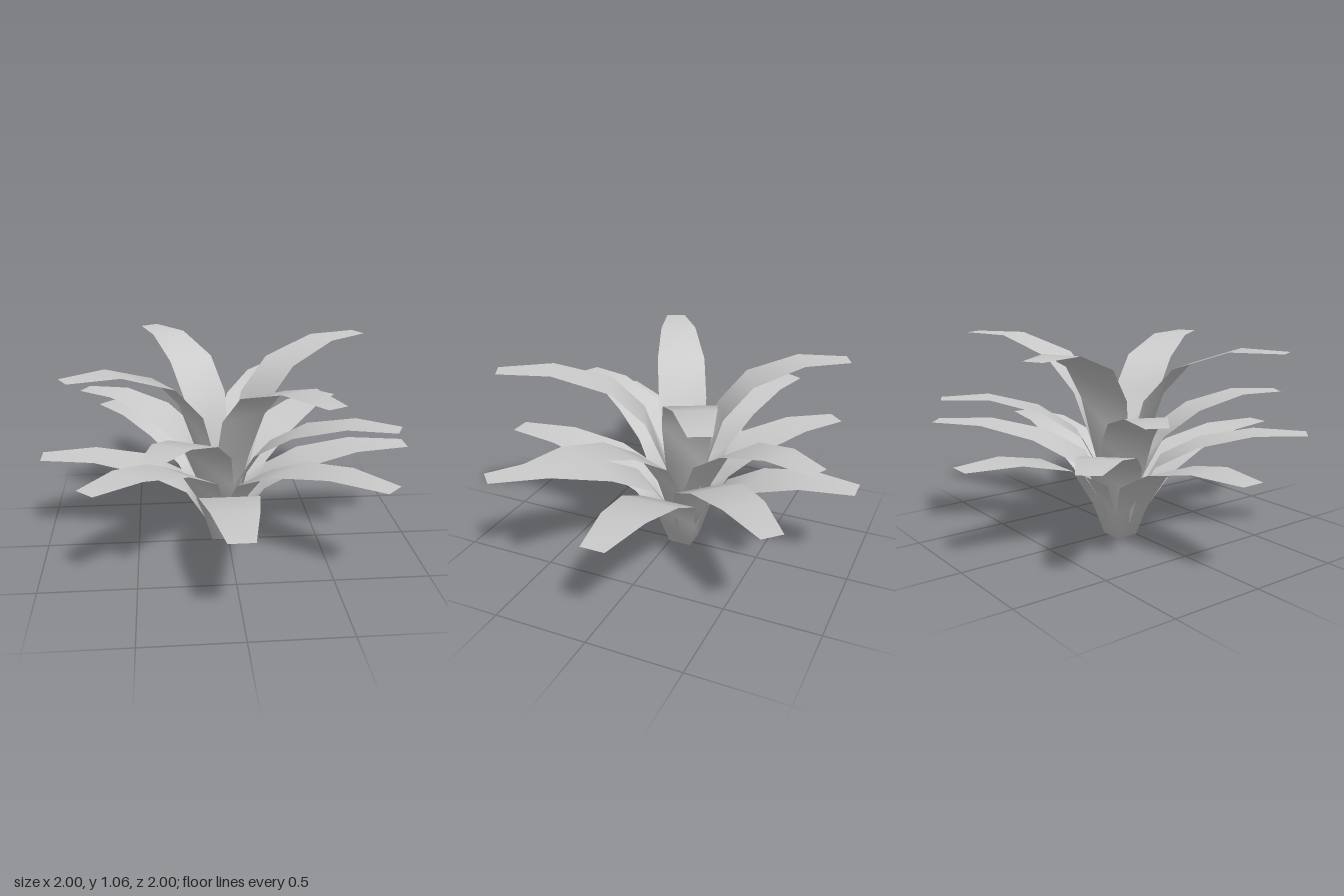
import * as THREE from 'three';
import { mergeGeometries, mergeVertices } from 'three/addons/utils/BufferGeometryUtils.js';

const material = new THREE.MeshStandardMaterial({ color: 0xcccccc, side: THREE.DoubleSide });

// Leaf strip running along +z: each ring is [distance, height, width]
function leafGeometry(rings) {
  const positions = [];
  const index = [];
  rings.forEach(([r, y, w], i) => {
    positions.push(-w / 2, y, r, w / 2, y, r);
    if (i > 0) {
      const a = 2 * (i - 1);
      index.push(a, a + 2, a + 1, a + 1, a + 2, a + 3);
    }
  });
  const geometry = new THREE.BufferGeometry();
  geometry.setAttribute('position', new THREE.Float32BufferAttribute(positions, 3));
  geometry.setIndex(index);
  return geometry;
}

// Four whorls of four leaves, from the lowest to the crown
const tiers = [
  { name: 'bottomLeaves', base: 0, rise: 0.5, width: 1, turn: 0, reach: [0.21, 0.43, 0.71, 1] },
  { name: 'lowerLeaves', base: 0.085, rise: 0.495, width: 0.92, turn: -45, reach: [0.21, 0.43, 0.72, 1] },
  { name: 'middleLeaves', base: 0.17, rise: 0.585, width: 0.86, turn: -64, reach: [0.215, 0.41, 0.665, 0.9] },
  { name: 'crownLeaves', base: 0.255, rise: 0.77, width: 0.84, turn: -27, reach: [0.2, 0.36, 0.64, 0.905] },
];
const heightSteps = [0.66, 0.88, 1, 1];
const widths = [0.31, 0.31, 0.235, 0.125];
// Square cup at the foot of each whorl, where neighbouring leaves are joined
const cupFoot = 0.0625;
const cupRim = 0.105;
const cupHeight = 0.32;
// Slight variation from leaf to leaf around each whorl
const reachScale = [1.06, 0.978, 0.937, 1.02];
const riseScale = [1, 1.02, 1.035, 1.05];

function whorlGeometry({ base, rise, width, reach }) {
  const floor = new THREE.PlaneGeometry(2 * cupFoot, 2 * cupFoot).rotateX(-Math.PI / 2).translate(0, base, 0);
  floor.deleteAttribute('uv');
  floor.deleteAttribute('normal');
  const parts = [floor];
  for (let k = 0; k < 4; k++) {
    const rings = reach.map((r, i) => [
      r * reachScale[k],
      base + rise * riseScale[k] * heightSteps[i],
      widths[i] * width,
    ]);
    rings.unshift([cupFoot, base, 2 * cupFoot], [cupRim, base + rise * cupHeight, 2 * cupRim]);
    parts.push(leafGeometry(rings).rotateY(-k * Math.PI / 2));
  }
  // Weld the shared cup corners so the shading runs smoothly across them
  const geometry = mergeVertices(mergeGeometries(parts), 1e-4);
  geometry.computeVertexNormals();
  return geometry;
}

export function createModel() {
  const group = new THREE.Group();
  group.name = 'leafyPlant';
  for (const tier of tiers) {
    const whorl = new THREE.Mesh(whorlGeometry(tier), material);
    whorl.name = tier.name;
    whorl.position.set(-0.027, 0, -0.06);
    whorl.rotation.y = -THREE.MathUtils.degToRad(tier.turn);
    group.add(whorl);
  }
  return group;
}
